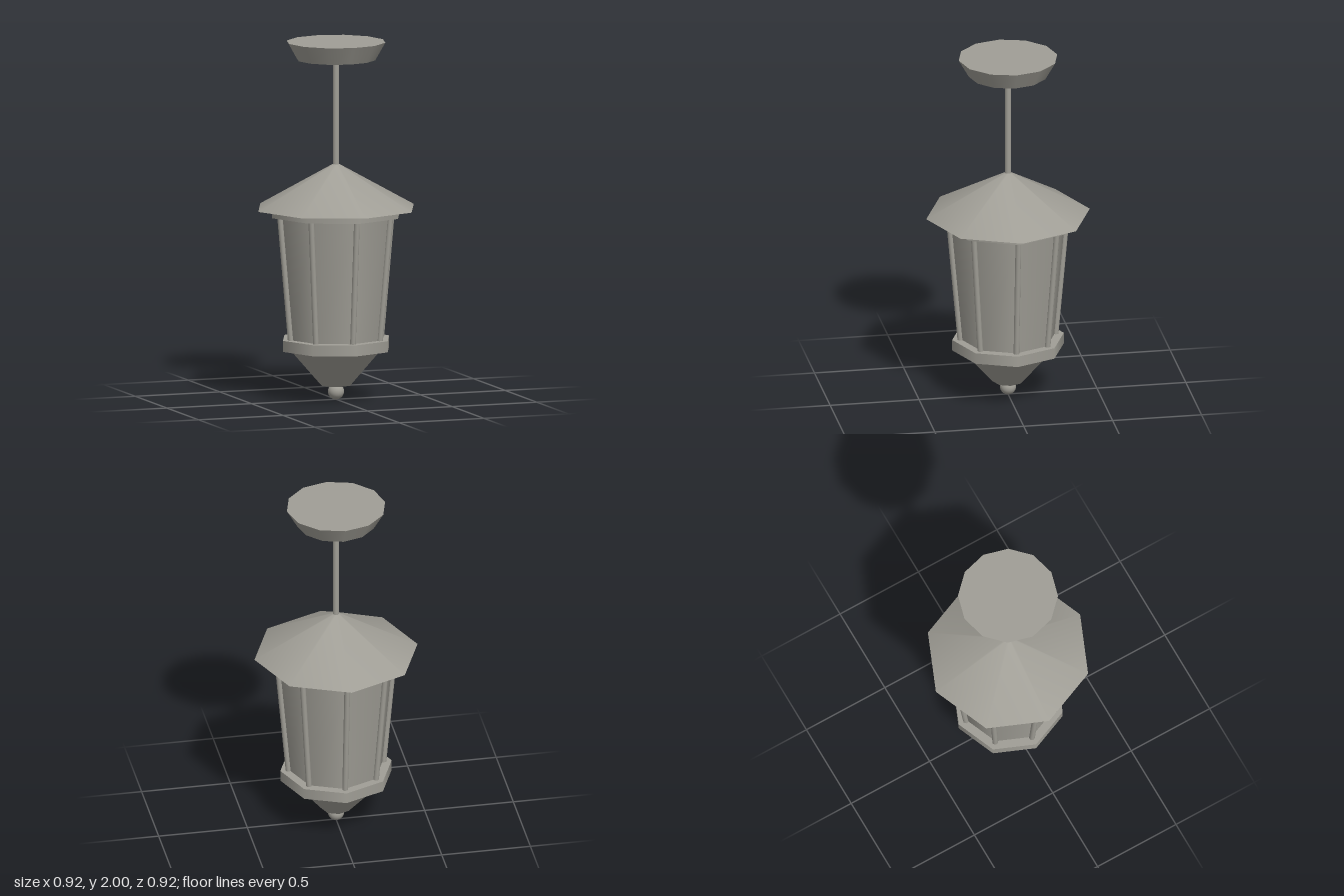
import * as THREE from 'three';

export function createModel() {
  const model = new THREE.Group();
  model.name = 'hangingLantern';
  const metal = new THREE.MeshStandardMaterial({ color: 0xa09e96 });
  metal.name = 'warm grey';

  const add = (name, geometry, parent = model) => {
    const mesh = new THREE.Mesh(geometry, metal);
    mesh.name = name;
    parent.add(mesh);
    return mesh;
  };

  // Upright tapered prism between two heights
  const prism = (name, y0, y1, r0, r1, sides = 8) => {
    const mesh = add(name, new THREE.CylinderGeometry(r1, r0, y1 - y0, sides));
    mesh.position.y = (y0 + y1) / 2;
    return mesh;
  };

  // Ceiling mount and hanging rod
  prism('ceilingCanopy', 1.9, 2, 0.22, 0.277, 12);
  prism('hangingRod', 1.29, 1.91, 0.018, 0.018, 12);

  // Lantern body, eight-sided with corners on the axes
  prism('roof', 1.07, 1.318, 0.46, 0.015);
  prism('upperRing', 1.03, 1.07, 0.377, 0.377);
  prism('lanternPanes', 0.33, 1.04, 0.262, 0.325);
  prism('lowerRing', 0.28, 0.342, 0.314, 0.314);
  prism('bottomFunnel', 0.08, 0.285, 0.085, 0.268);

  // Slanted glazing bars, one along each corner
  const bars = new THREE.Group();
  bars.name = 'glazingBars';
  model.add(bars);
  const up = new THREE.Vector3(0, 1, 0);
  for (let i = 0; i < 8; i++) {
    const a = (i * Math.PI) / 4;
    const bottom = new THREE.Vector3(Math.sin(a) * 0.267, 0.33, Math.cos(a) * 0.267);
    const top = new THREE.Vector3(Math.sin(a) * 0.331, 1.04, Math.cos(a) * 0.331);
    const axis = top.clone().sub(bottom);
    const bar = add('glazingBar', new THREE.CylinderGeometry(0.016, 0.016, axis.length(), 10), bars);
    bar.position.copy(bottom).add(top).multiplyScalar(0.5);
    bar.quaternion.setFromUnitVectors(up, axis.normalize());
  }

  // Ball finial
  add('finial', new THREE.SphereGeometry(0.045, 20, 14)).position.y = 0.045;

  return model;
}
